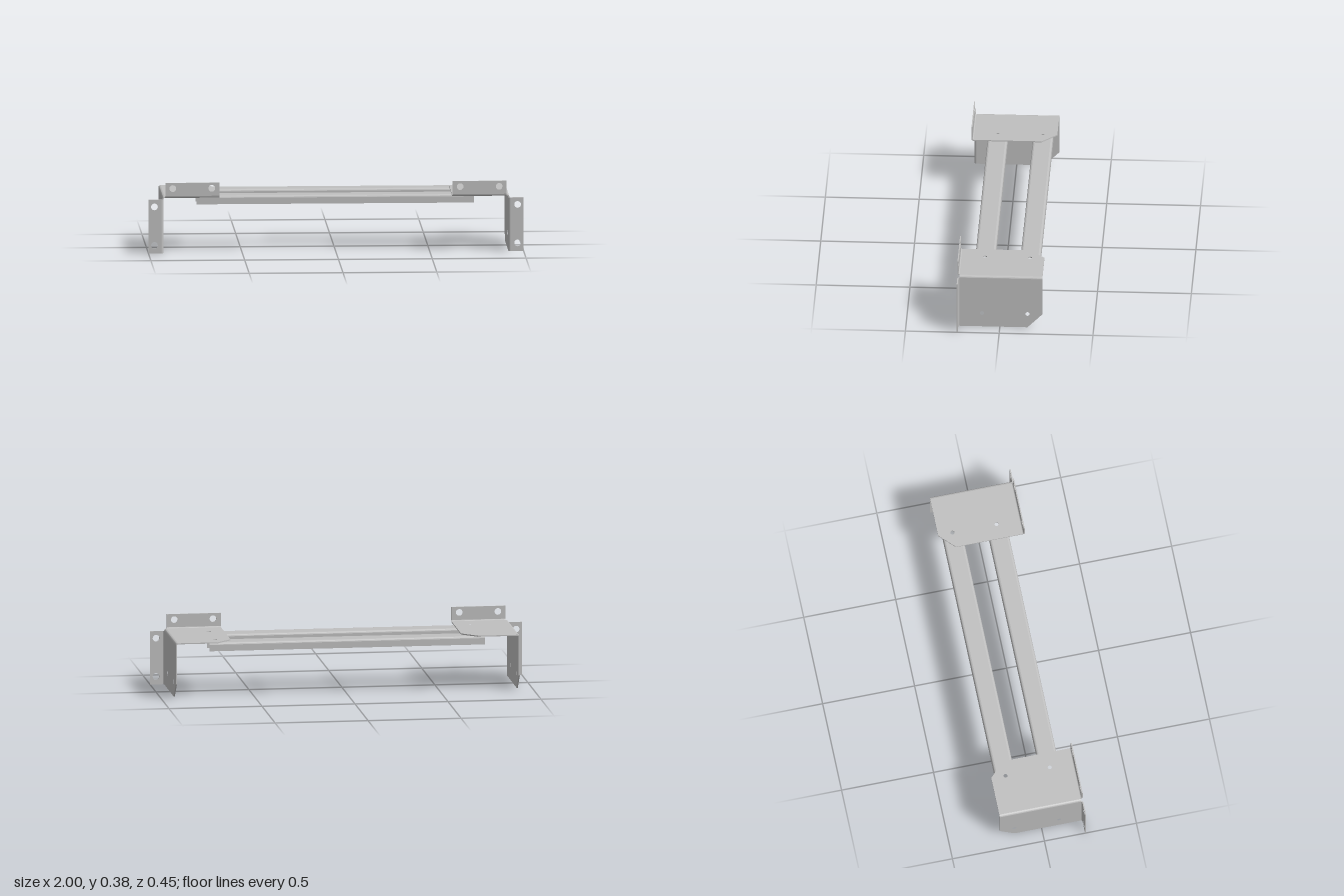
import * as THREE from 'three';
import { toCreasedNormals } from 'three/addons/utils/BufferGeometryUtils.js';

const T = 0.006;          // sheet thickness
const R = 0.012;          // outer bend radius

const steel = new THREE.MeshStandardMaterial({ color: 0xbfbfbf });
steel.name = 'grey sheet steel';

// Sheet cut from an outline and extruded along one axis.
// Outline coordinates: axis x -> (z, y), axis y -> (x, z), axis z -> (x, y).
function sheet(name, axis, points, from, depth, holes = [], holeRadius = 0.011) {
  const map = ([a, b]) =>
    axis === 'x' ? new THREE.Vector2(-a, b) :
    axis === 'y' ? new THREE.Vector2(a, -b) : new THREE.Vector2(a, b);
  const shape = new THREE.Shape(points.map(map));
  for (const h of holes) {
    const c = map(h);
    shape.holes.push(new THREE.Path().absarc(c.x, c.y, holeRadius, 0, Math.PI * 2, true));
  }
  let geo = new THREE.ExtrudeGeometry(shape, { depth, bevelEnabled: false, curveSegments: 24 });
  if (axis === 'x') geo.rotateY(Math.PI / 2).translate(from, 0, 0);
  if (axis === 'y') geo.rotateX(-Math.PI / 2).translate(0, from, 0);
  if (axis === 'z') geo.translate(0, 0, from);
  geo = toCreasedNormals(geo, 0.5);
  const mesh = new THREE.Mesh(geo, steel);
  mesh.name = name;
  return mesh;
}

const rect = (a0, b0, a1, b1) => [[a0, b0], [a1, b0], [a1, b1], [a0, b1]];

// Quarter ring outline for a sheet bend; da and db point to its quadrant.
function bend(ca, cb, da, db) {
  const pts = [], n = 6;
  for (let i = 0; i <= n; i++) {
    const t = (i / n) * Math.PI / 2;
    pts.push([ca + da * R * Math.cos(t), cb + db * R * Math.sin(t)]);
  }
  for (let i = n; i >= 0; i--) {
    const t = (i / n) * Math.PI / 2;
    pts.push([ca + da * (R - T) * Math.cos(t), cb + db * (R - T) * Math.sin(t)]);
  }
  return pts;
}

// Folded corner bracket; s = 1 for the left, -1 for the right.
function bracket(s) {
  const g = new THREE.Group();
  g.name = s > 0 ? 'leftBracket' : 'rightBracket';
  const mx = pts => pts.map(([x, b]) => [s * x, b]);
  const start = (x0, x1) => (s > 0 ? x0 : -x1);
  const back = -0.227, front = 0.215;

  g.add(
    // top plate with a clipped inner rear corner
    sheet('topPlate', 'y',
      mx([[0.62, front], [0.913, front], [0.913, back], [0.70, back], [0.62, back + 0.08]]),
      0.296, T, mx([[0.703, -0.15], [0.703, 0.09]])),
    // side plate with a clipped lower rear corner
    sheet('sidePlate', 'x',
      [[front, 0], [front, 0.29], [back, 0.29], [back, 0.08], [back + 0.08, 0]],
      start(0.919, 0.925), T, [[0.095, 0.08], [-0.147, 0.08]]),
    sheet('topSideBend', 'z', mx(bend(0.913, 0.29, 1, 1)), back, front - back),
    // outward mounting flange
    sheet('sideFlange', 'z', mx(rect(0.931, 0, 1, 0.288)), 0.221, T,
      mx([[0.968, 0.25], [0.968, 0.043]]), 0.018),
    sheet('sideFlangeBend', 'y', mx(bend(0.931, front, -1, 1)), 0, 0.288),
    // upward mounting flange
    sheet('upperFlange', 'z', mx(rect(0.62, 0.308, 0.91, 0.378)), 0.221, T,
      mx([[0.662, 0.348], [0.87, 0.348]]), 0.018),
    sheet('upperFlangeBend', 'x', bend(front, 0.308, 1, -1), start(0.62, 0.91), 0.29),
  );
  return g;
}

// Downward-open channel rail between the brackets.
function rail(name, z0, z1, holeZ) {
  const g = new THREE.Group();
  g.name = name;
  const L = 0.74, top = 0.296, bottom = 0.25;
  g.add(sheet('railWeb', 'y', rect(-L, z0 + R, L, z1 - R), top - T, T,
    [[-0.703, holeZ], [0.703, holeZ]]));
  for (const [z, d] of [[z0, -1], [z1, 1]]) {
    g.add(
      sheet('railFlange', 'z', rect(-L, bottom, L, top - R), d > 0 ? z - T : z, T),
      sheet('railBend', 'x', bend(z - d * R, top - R, d, 1), -L, 2 * L),
    );
  }
  return g;
}

export function createModel() {
  const model = new THREE.Group();
  model.name = 'mountingFrame';
  model.add(
    bracket(1),
    bracket(-1),
    rail('rearRail', -0.205, -0.098, -0.15),
    rail('frontRail', 0.036, 0.143, 0.09),
  );
  return model;
}
